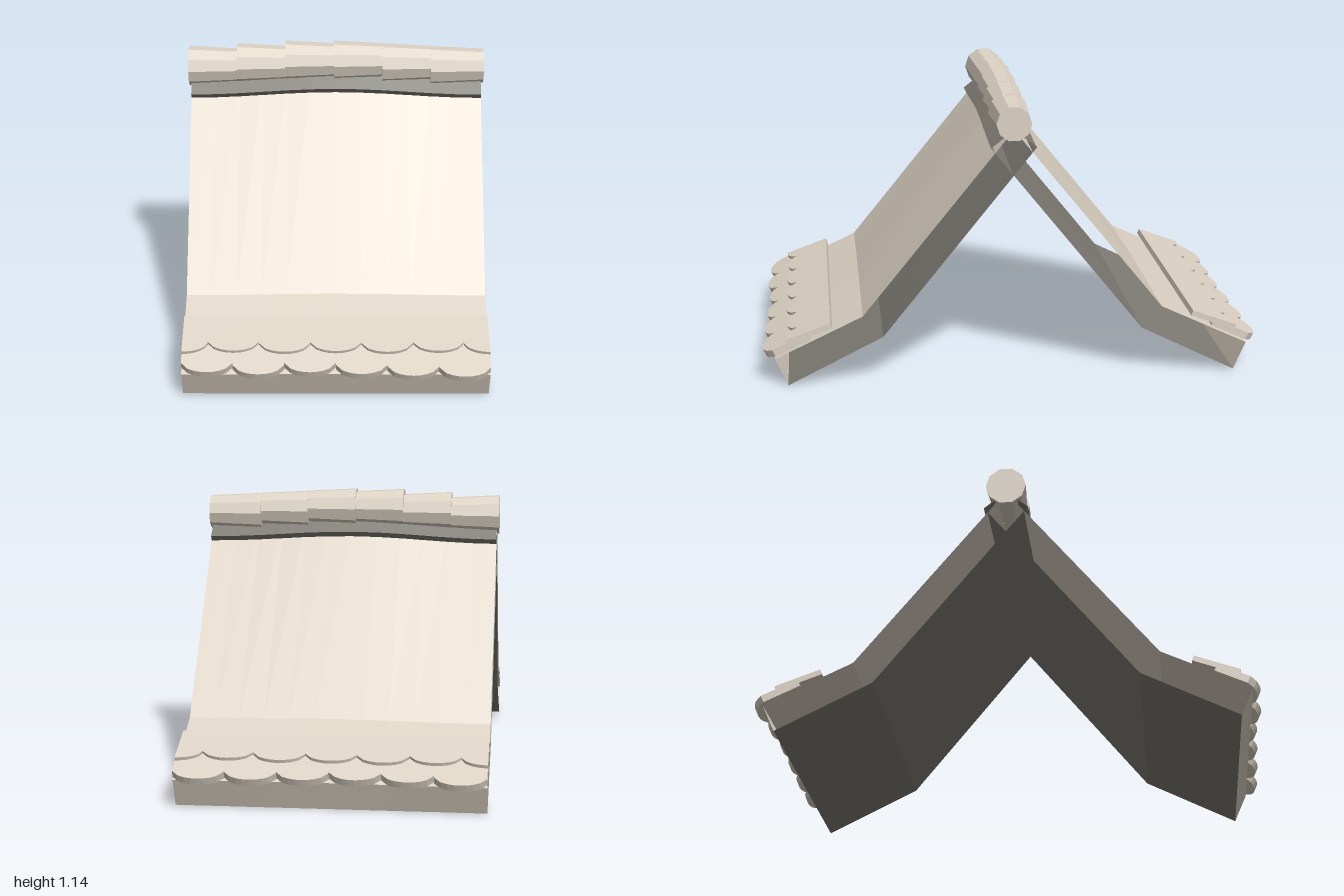
import * as THREE from 'three';

const HALF = 0.6; // half length of the roof along x

// Gentle sag of the ridge towards both ends, fading out at the eaves
const sag = (x) => 0.013 * (Math.cos((Math.PI * x) / HALF) - 1);

// Skin of a hollow, open-ended slab: a [z, y] profile swept along x
function skinGeometry(profile) {
  const cols = 12;
  const geo = new THREE.PlaneGeometry(2 * HALF, 1, cols, profile.length - 1);
  const pos = geo.attributes.position;
  for (let i = 0; i < pos.count; i++) {
    const [z, y] = profile[Math.floor(i / (cols + 1))];
    const x = pos.getX(i);
    pos.setXYZ(i, x, y + sag(x) * y, z);
  }
  geo.computeVertexNormals();
  return geo;
}

// Round-ended shingle around centre x, clipped at the roof ends
function shingleGeometry(cx, length, thickness) {
  const lo = Math.max(-0.1, -HALF - cx);
  const hi = Math.min(0.1, HALF - cx);
  const shape = new THREE.Shape();
  shape.moveTo(hi, length);
  shape.lineTo(lo, length);
  const steps = 8;
  for (let i = 0; i <= steps; i++) {
    const x = lo + ((hi - lo) * i) / steps;
    const t = x / 0.1;
    shape.lineTo(x, 0.055 * (1 - Math.sqrt(Math.max(0, 1 - 0.96 * t * t))));
  }
  return new THREE.ExtrudeGeometry(shape, { depth: thickness, bevelEnabled: false });
}

// Row of shingles; tip is the [z, y] of the lower underside edge
function shingleRow(name, material, { centres, tip, angle, length, thickness, jitter }) {
  const row = new THREE.Group();
  row.name = name;
  centres.forEach((cx, i) => {
    const slip = jitter[i % jitter.length];
    const mesh = new THREE.Mesh(shingleGeometry(cx, length - slip, thickness), material);
    mesh.name = 'shingle';
    mesh.rotation.x = angle - Math.PI / 2;
    mesh.position.set(cx, tip[1] + slip * Math.sin(angle), tip[0] - slip * Math.cos(angle));
    row.add(mesh);
  });
  return row;
}

// One roof side: outer and inner skins plus two shingle rows at the eave
function roofSide(name, clay, lining, jitter) {
  const side = new THREE.Group();
  side.name = name;
  const outer = new THREE.Mesh(
    skinGeometry([[0, 1.045], [0.6, 0.285], [0.95, 0.115], [0.9, 0]]), clay);
  outer.name = 'outerSkin';
  // The lining also closes the slab under the ridge
  const inner = new THREE.Mesh(
    skinGeometry([[0.9, 0], [0.52, 0.195], [-0.09, 0.972], [0, 1.045]]), lining);
  inner.name = 'innerSkin';
  side.add(outer, inner);
  side.add(shingleRow('lowerShingles', clay, {
    centres: [-0.5, -0.3, -0.1, 0.1, 0.3, 0.5],
    tip: [0.987, 0.105], angle: 0.43, length: 0.2, thickness: 0.03, jitter,
  }));
  side.add(shingleRow('upperShingles', clay, {
    centres: [-0.6, -0.4, -0.2, 0, 0.2, 0.4, 0.6],
    tip: [0.9, 0.169], angle: 0.35, length: 0.19, thickness: 0.022,
    jitter: [0, 0.006, 0, 0.004],
  }));
  return side;
}

export function createModel() {
  const model = new THREE.Group();
  model.name = 'roofSection';
  const clay = new THREE.MeshStandardMaterial({
    color: 0xdcd2c4, flatShading: true, side: THREE.DoubleSide,
  });
  clay.name = 'paleClay';
  const lining = new THREE.MeshStandardMaterial({
    color: 0x807d75, flatShading: true, side: THREE.DoubleSide,
  });
  lining.name = 'greyLining';

  const front = roofSide('frontSide', clay, lining, [0.02, 0.01, 0.02, 0.012, 0.004, 0]);
  const back = roofSide('backSide', clay, lining, [0, 0.002, 0.008, 0.015, 0.01, 0]);
  back.rotation.y = Math.PI;
  model.add(front, back);

  // Overlapping tapered ridge tiles that follow the sag
  const ridge = new THREE.Group();
  ridge.name = 'ridgeTiles';
  for (let i = 0; i < 6; i++) {
    const x = -0.5 + 0.2 * i;
    const tile = new THREE.Mesh(new THREE.CylinderGeometry(0.07, 0.082, 0.22, 10), clay);
    tile.name = 'ridgeTile';
    tile.rotation.z = -Math.PI / 2;
    tile.position.set(x, 1.067 + sag(x), 0);
    ridge.add(tile);
  }
  model.add(ridge);
  return model;
}
